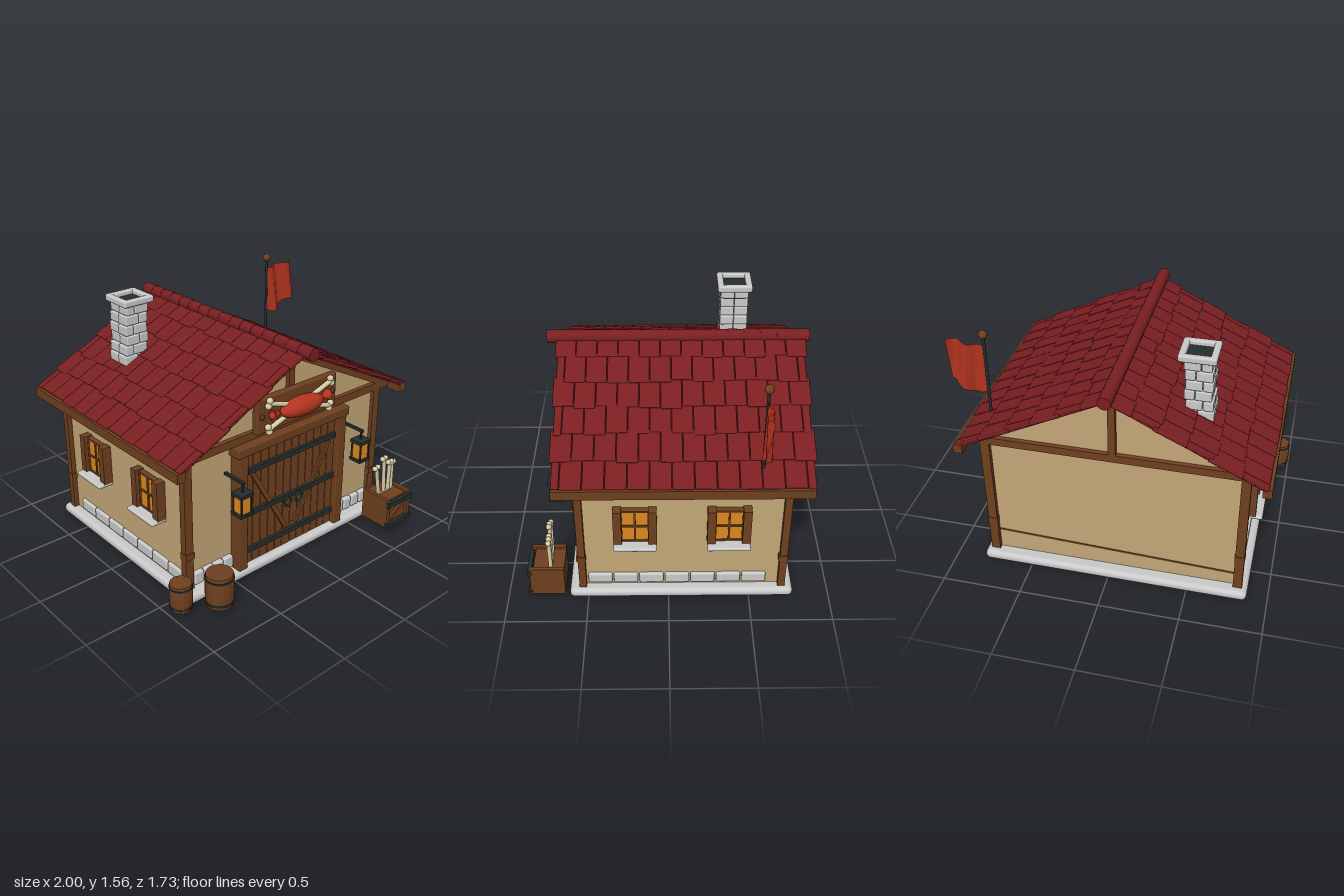
import * as THREE from 'three';
import { RoundedBoxGeometry } from 'three/addons/geometries/RoundedBoxGeometry.js';

const mat = (name, color, side = THREE.FrontSide) =>
  Object.assign(new THREE.MeshStandardMaterial({ color, side }), { name });
const M = {
  wall: mat('tan plaster', 0xc4a777),
  roof: mat('dark red tile', 0x7a1f22),
  wood: mat('brown wood', 0x6f401f),
  door: mat('dark wood', 0x57301a),
  stone: mat('grey stone', 0xcacaca),
  iron: mat('black iron', 0x242e2e),
  glow: mat('amber glass', 0xde8820),
  cloth: mat('red cloth', 0xb43420, THREE.DoubleSide),
  bone: mat('bone', 0xdccda6),
};

let seed = 7;
const jitter = (a) => { seed = (seed * 16807) % 2147483647; return (seed / 2147483647 - 0.5) * 2 * a; };

function add(parent, name, geo, m, x = 0, y = 0, z = 0) {
  const mesh = new THREE.Mesh(geo, m);
  mesh.name = name;
  mesh.position.set(x, y, z);
  parent.add(mesh);
  return mesh;
}
function group(parent, name, x = 0, y = 0, z = 0) {
  const g = new THREE.Group();
  g.name = name;
  g.position.set(x, y, z);
  parent.add(g);
  return g;
}
// Box given by its limits, with optional rounded edges
function box(parent, name, m, x0, x1, y0, y1, z0, z1, r = 0) {
  const s = [x1 - x0, y1 - y0, z1 - z0];
  const geo = r ? new RoundedBoxGeometry(...s, 2, r) : new THREE.BoxGeometry(...s);
  return add(parent, name, geo, m, (x0 + x1) / 2, (y0 + y1) / 2, (z0 + z1) / 2);
}
// Straight timber in an xy plane from a to b
function beam(parent, name, m, ax, ay, bx, by, w, z0, z1) {
  const b = add(parent, name, new THREE.BoxGeometry(Math.hypot(bx - ax, by - ay), w, z1 - z0), m,
    (ax + bx) / 2, (ay + by) / 2, (z0 + z1) / 2);
  b.rotation.z = Math.atan2(by - ay, bx - ax);
  return b;
}
// Bone with a pair of knobs on each end
function bone(parent, ax, ay, bx, by, z, r) {
  const g = group(parent, 'bone', (ax + bx) / 2, (ay + by) / 2, z);
  const len = Math.hypot(bx - ax, by - ay);
  g.rotation.z = Math.atan2(ax - bx, by - ay);
  add(g, 'shaft', new THREE.CylinderGeometry(r, r, len, 10), M.bone);
  for (const e of [-1, 1]) for (const s of [-1, 1])
    add(g, 'knob', new THREE.SphereGeometry(r * 1.35, 12, 8), M.bone, s * r * 1.1, e * len / 2, 0);
}

function barrel(parent, x, y, z, r, h) {
  const g = group(parent, 'barrel', x, y, z);
  const pts = [[0, 0], [0.92, 0], [0.98, 0.25], [1, 0.5], [0.98, 0.75], [0.93, 1], [0, 1]];
  const geo = new THREE.LatheGeometry(pts.map(([a, b]) => new THREE.Vector2(a * r, b * h)), 16).toNonIndexed();
  geo.computeVertexNormals();
  add(g, 'staves', geo, M.wood);
  for (const t of [0.13, 0.87])
    add(g, 'hoop', new THREE.CylinderGeometry(r, r, h * 0.06, 16, 1), M.iron, 0, t * h, 0);
}

function lantern(parent, x) {
  const g = group(parent, 'lantern', x, 0, 0.69);
  box(g, 'bracket', M.iron, -0.009, 0.009, 0.735, 0.752, -0.15, 0.015);
  box(g, 'hanger', M.iron, -0.005, 0.005, 0.67, 0.745, -0.005, 0.005);
  box(g, 'base', M.iron, -0.05, 0.05, 0.54, 0.558, -0.045, 0.045);
  box(g, 'cap', M.iron, -0.048, 0.048, 0.664, 0.685, -0.045, 0.045);
  box(g, 'glass', M.glow, -0.036, 0.036, 0.555, 0.667, -0.034, 0.034);
  for (const a of [-1, 1]) for (const b of [-1, 1])
    box(g, 'bar', M.iron, a * 0.037 - 0.005, a * 0.037 + 0.005, 0.555, 0.667, b * 0.035 - 0.005, b * 0.035 + 0.005);
}

// Window facing +x, with its own origin on the wall plane
function windowUnit(parent, side, z) {
  const g = group(parent, 'window', side * 0.775, 0, z);
  g.rotation.y = side > 0 ? 0 : Math.PI;
  box(g, 'pane', M.glow, 0, 0.026, 0.45, 0.69, -0.085, 0.085);
  for (const s of [-1, 1]) {
    box(g, 'shutter', M.wood, 0, 0.06, 0.445, 0.7, s * 0.105 - 0.025, s * 0.105 + 0.025);
    box(g, 'jamb', M.wood, 0, 0.036, 0.45, 0.69, s * 0.08 - 0.004, s * 0.08 + 0.004);
  }
  box(g, 'mullion', M.wood, 0, 0.034, 0.45, 0.69, -0.006, 0.006);
  for (const y of [0.455, 0.57, 0.685]) box(g, 'rail', M.wood, 0, 0.034, y - 0.006, y + 0.006, -0.085, 0.085);
  box(g, 'sill', M.stone, -0.01, 0.102, 0.425, 0.452, -0.13, 0.13, 0.012);
}

function buildRoof(h) {
  const roof = group(h, 'roof');
  const run = 0.905, slope = 0.503, ang = Math.atan(slope), n = 12, z0 = -0.845, z1 = 0.68, w = (z1 - z0) / n;
  for (const s of [-1, 1]) {
    beam(roof, 'deck', M.roof, 0, 1.383, s * run, 1.383 - run * slope, 0.012, -0.825, 0.66);
    box(roof, 'eaveBeam', M.wood, s * 0.905 - 0.027, s * 0.905 + 0.027, 0.885, 0.945, -0.825, 0.665);
    // Overlapping tiles, each course shifted by half a tile
    for (let r = 0; r < 6; r++) {
      const odd = r % 2;
      for (let i = 0; i < n + odd; i++) {
        const a = Math.max(z0 + (i - odd / 2) * w, z0 + odd * 0.015);
        const b = Math.min(z0 + (i + 1 - odd / 2) * w, z1 - odd * 0.015);
        // Upper and lower ends, measured across the house
        const xa = Math.max(0.01, r * 0.155 - 0.055), xb = 0.127 + r * 0.155 + jitter(r < 5 ? 0.01 : 0.004);
        const x = (xa + xb) / 2, lift = 0.021 + jitter(0.002);
        const t = add(roof, 'tile', new RoundedBoxGeometry((xb - xa) / Math.cos(ang), 0.022, b - a - 0.003, 1, 0.006), M.roof,
          s * (x + lift * Math.sin(ang)), 1.375 - x * slope + lift * Math.cos(ang), (a + b) / 2);
        t.rotation.z = -s * (ang - 0.03);
      }
    }
  }
  for (let i = 0; i < 16; i++) {
    const cap = add(roof, 'ridgeCap', new THREE.CylinderGeometry(0.041, 0.039, 0.1, 20), M.roof, 0, 1.4, -0.817 + i * 0.1);
    cap.rotation.x = Math.PI / 2;
  }
}

function buildChimney(h) {
  const c = group(h, 'chimney', -0.44, 0, -0.435);
  for (let r = 0; r < 7; r++) {
    const y = 1.068 + r * 0.0648, o = -0.028 + r * 0.004 + jitter(0.006), cut = r % 2 ? 0.018 : -0.018;
    for (const e of [-1, 1]) {
      box(c, 'brick', M.stone, o - 0.08, o + cut - 0.002, y, y + 0.062, e * 0.045 - 0.044, e * 0.045 + 0.044, 0.008);
      box(c, 'brick', M.stone, o + cut + 0.002, o + 0.08, y, y + 0.062, e * 0.045 - 0.044, e * 0.045 + 0.044, 0.008);
    }
  }
  box(c, 'flue', M.iron, -0.07, 0.07, 1.45, 1.53, -0.07, 0.07);
  for (const s of [-1, 1]) {
    box(c, 'rim', M.stone, -0.108, 0.108, 1.515, 1.558, s * 0.09 - 0.02, s * 0.09 + 0.02, 0.012);
    box(c, 'rim', M.stone, s * 0.09 - 0.02, s * 0.09 + 0.02, 1.515, 1.558, -0.108, 0.108, 0.012);
  }
}

function buildDoor(h) {
  const d = group(h, 'door');
  for (let i = 0; i < 12; i++) {
    const x = -0.375 + i * 0.0625;
    box(d, 'plank', M.wood, x + 0.002, x + 0.0605, 0.07, 0.83 + jitter(0.008), 0.53, 0.572);
  }
  box(d, 'backing', M.door, -0.375, 0.375, 0.065, 0.845, 0.53, 0.562);
  for (const y of [0.17, 0.43, 0.72]) box(d, 'ironBand', M.iron, -0.367, 0.367, y - 0.016, y + 0.016, 0.57, 0.592);
  for (const s of [-1, 1]) {
    beam(d, 'brace', M.wood, s * 0.32, 0.69, s * 0.04, 0.21, 0.03, 0.57, 0.586);
    add(d, 'ringHandle', new THREE.TorusGeometry(0.028, 0.008, 8, 20), M.iron, s * 0.047, 0.4, 0.602);
    box(d, 'doorPost', M.wood, s * 0.41 - 0.034, s * 0.41 + 0.034, 0.06, 0.85, 0.52, 0.608, 0.008);
  }
  box(d, 'lintel', M.wood, -0.46, 0.46, 0.84, 0.902, 0.52, 0.615, 0.01);
}

function buildSign(h) {
  const g = group(h, 'sign');
  box(g, 'board', M.wood, -0.322, 0.322, 0.95, 1.17, 0.57, 0.615, 0.01);
  for (const s of [-1, 1]) {
    bone(g, -0.25, 1.06 - s * 0.082, 0.25, 1.06 + s * 0.082, 0.635, 0.015);
    add(g, 'stud', new THREE.SphereGeometry(0.018, 12, 8), M.door, s * 0.285, 1.06, 0.615);
    const twist = add(g, 'wrapperEnd', new THREE.ConeGeometry(0.036, 0.07, 12), M.cloth, s * 0.19, 1.06, 0.64);
    twist.rotation.z = s * Math.PI / 2;
    add(g, 'wrapperTip', new THREE.SphereGeometry(0.024, 12, 8), M.cloth, s * 0.225, 1.06, 0.64);
  }
  add(g, 'sweet', new THREE.SphereGeometry(1, 28, 18), M.cloth, 0, 1.06, 0.648).scale.set(0.168, 0.06, 0.064);
}

function buildFlag(root) {
  const f = group(root, 'flag', 0.765, 0, -0.535);
  add(f, 'pole', new THREE.CylinderGeometry(0.009, 0.009, 0.6, 10), M.iron, 0, 1.22, 0);
  add(f, 'poleBall', new THREE.SphereGeometry(0.027, 14, 10), M.wood, 0, 1.535, 0);
  const geo = new THREE.PlaneGeometry(0.225, 0.31, 16, 8), p = geo.attributes.position;
  for (let i = 0; i < p.count; i++) {
    const u = p.getX(i) / 0.225 + 0.5, v = p.getY(i) / 0.31;
    p.setZ(i, 0.024 * Math.sin(u * 9 + v * 2) * Math.min(1, u * 3));
    p.setY(i, p.getY(i) + 0.02 * u + (v < 0 ? 0.06 * v * Math.sin(u * 5) : 0));
  }
  geo.computeVertexNormals();
  add(f, 'cloth', geo, M.cloth, 0.122, 1.305, 0);
}

function buildCrate(root) {
  const c = group(root, 'boneCrate', 0.7, 0, 0.74);
  box(c, 'body', M.wood, -0.11, 0.11, 0.05, 0.235, -0.1, 0.09);
  for (const s of [-1, 1]) box(c, 'sideFrame', M.wood, s * 0.1 - 0.013, s * 0.1 + 0.013, 0.045, 0.25, -0.1, 0.112);
  beam(c, 'brace', M.wood, -0.09, 0.08, 0.09, 0.2, 0.025, 0.085, 0.106);
  box(c, 'topBand', M.iron, -0.116, 0.116, 0.2, 0.234, 0.1, 0.126);
  box(c, 'bottomBand', M.iron, -0.118, 0.118, 0.045, 0.075, 0.1, 0.126);
  for (const [a, b, y] of [[-0.06, -0.1, 0.44], [-0.01, -0.03, 0.485], [0.03, 0.03, 0.44], [0.06, 0.055, 0.43]])
    bone(c, a, 0.22, b, y, -0.015, 0.013);
}

export function createModel() {
  const root = new THREE.Group();
  root.name = 'cottage';
  const h = group(root, 'house', -0.031, 0, 0);

  box(h, 'foundation', M.stone, -0.842, 0.842, 0, 0.065, -0.775, 0.615, 0.03);
  // Walls with both gables
  const s = new THREE.Shape();
  [[-0.775, 0.05], [0.775, 0.05], [0.775, 0.96], [0, 1.35], [-0.775, 0.96]].forEach(([x, y], i) => i ? s.lineTo(x, y) : s.moveTo(x, y));
  add(h, 'walls', new THREE.ExtrudeGeometry(s, { depth: 1.225, bevelEnabled: false }), M.wall, 0, 0, -0.695);

  // Timber frame on the front and back
  for (const [z0, z1] of [[0.51, 0.56], [-0.725, -0.675]]) {
    box(h, 'tieBeam', M.wood, -0.86, 0.86, 0.9, 0.95, z0, z1);
    box(h, 'kingPost', M.wood, -0.022, 0.022, 0.94, 1.36, z0, z1);
    for (const e of [-1, 1]) {
      beam(h, 'rafter', M.wood, 0, 1.355, e * 0.885, 0.91, 0.045, z0, z1);
      box(h, 'cornerPost', M.wood, e * 0.78 - 0.028, e * 0.78 + 0.028, 0.05, 0.92, z0, z1 - 0.005);
      box(h, 'postCollar', M.wood, e * 0.78 - 0.031, e * 0.78 + 0.031, 0.28, 0.32, z0 - 0.003, z1 + 0.003);
    }
  }
  beam(h, 'backStrip', M.wood, -0.75, 0.155, 0.75, 0.21, 0.012, -0.699, -0.69);

  // Side windows and stone courses
  for (const e of [-1, 1]) {
    for (const z of [0.2, -0.36]) windowUnit(h, e, z);
    for (let i = 0; i < 7; i++) {
      const z = 0.498 - i * 0.1587;
      box(h, 'sideStone', M.stone, e * 0.775 - 0.02, e * 0.775 + 0.02, 0.085, 0.16, z - 0.149, z, 0.012);
    }
    for (let i = 0; i < 4; i++) {
      const x = e * (0.485 + i * 0.075);
      box(h, 'frontStone', M.stone, x - 0.034, x + 0.034, 0.08, 0.165, 0.51, 0.56, 0.012);
    }
    lantern(h, e * 0.496);
  }
  buildDoor(h);
  buildSign(h);
  buildRoof(h);
  buildChimney(h);

  buildFlag(root);
  buildCrate(root);
  barrel(root, -0.738, 0.045, 0.735, 0.088, 0.21);
  barrel(root, -0.93, 0.04, 0.62, 0.07, 0.175);
  return root;
}
